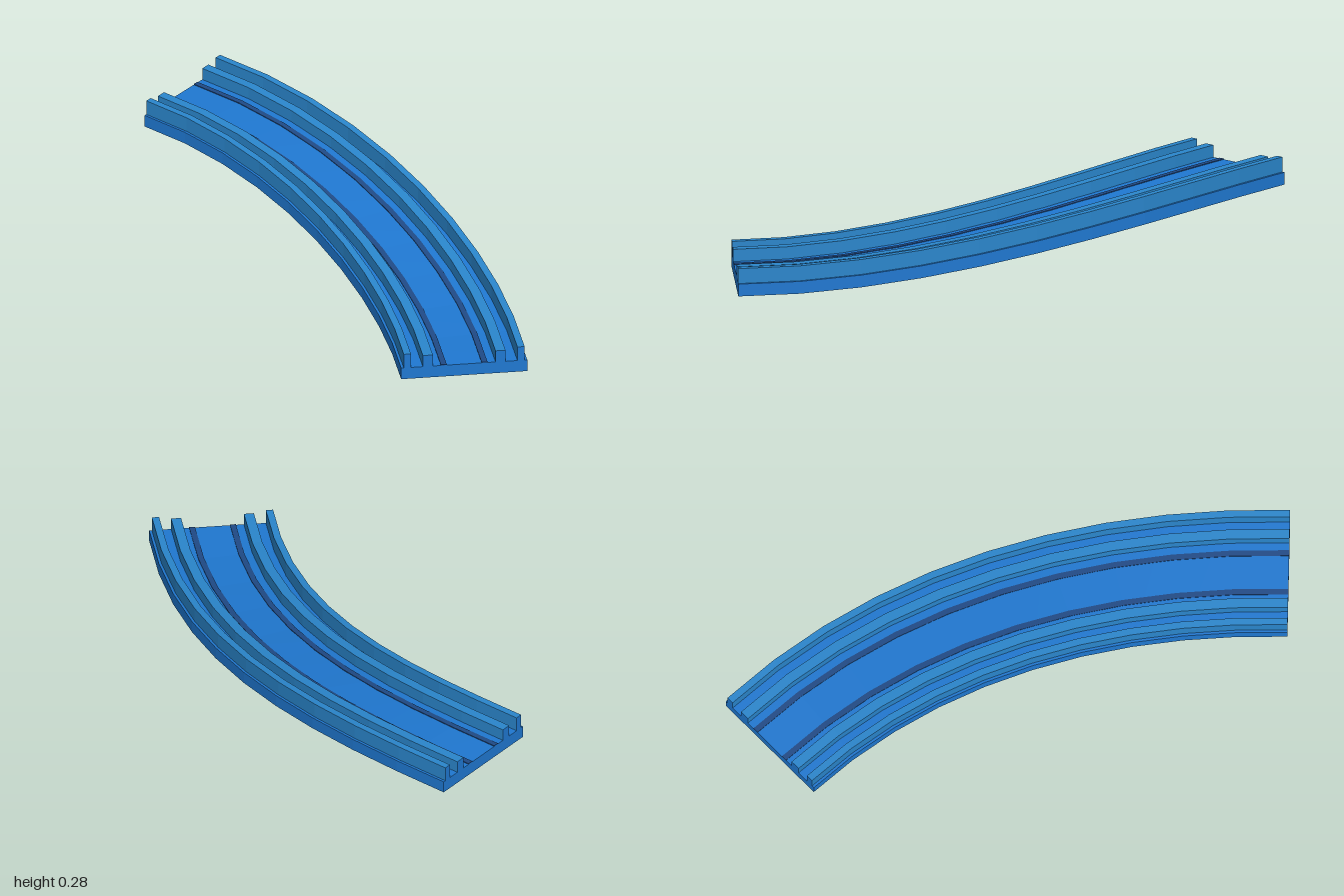
import * as THREE from 'three';

const SEGMENTS = 10;
const SWEEP = Math.PI / 4;
const RADIUS = 2.6;          // centre line of the bend
const CENTRE_X = -2.255;     // pivot of the bend
const RISE = 0.183;

// Point on the track: offset across, height above the underside, t along
function trackPoint(offset, height, t) {
  const a = SWEEP * t, r = RADIUS + offset;
  const lift = RISE * t * t * (3 - 2 * t);
  return [CENTRE_X + r * Math.cos(a), height + lift, 1 - r * Math.sin(a)];
}

// Rectangular bar swept along the rising bend; group 0 = sides, group 1 = ends
function sweepBar(o0, o1, y0, y1) {
  const profile = [[o0, y0], [o1, y0], [o1, y1], [o0, y1]];
  const positions = [], index = [];
  for (let i = 0; i <= SEGMENTS; i++) {
    for (const [o, y] of profile) positions.push(...trackPoint(o, y, i / SEGMENTS));
  }
  for (let i = 0; i < SEGMENTS; i++) {
    for (let k = 0; k < 4; k++) {
      const a = i * 4 + k, b = i * 4 + (k + 1) % 4;
      index.push(a, a + 4, b + 4, a, b + 4, b);
    }
  }
  const sideCount = index.length, e = SEGMENTS * 4;
  index.push(0, 1, 2, 0, 2, 3, e, e + 2, e + 1, e, e + 3, e + 2);
  const indexed = new THREE.BufferGeometry();
  indexed.setAttribute('position', new THREE.Float32BufferAttribute(positions, 3));
  indexed.setIndex(index);
  const geometry = indexed.toNonIndexed();
  geometry.computeVertexNormals();
  geometry.addGroup(0, sideCount, 0);
  geometry.addGroup(sideCount, 12, 1);
  return geometry;
}

export function createModel() {
  const group = new THREE.Group();
  group.name = 'curvedRampTrack';
  const material = (name, color) => {
    const m = new THREE.MeshStandardMaterial({ color });
    m.name = name;
    return m;
  };
  const blue = material('track blue', 0x1f78d1);
  const lightBlue = material('rail blue', 0x2a86cc);
  const navy = material('stripe navy', 0x1f4a86);

  const add = (name, bar, sides, ends) => {
    const mesh = new THREE.Mesh(sweepBar(...bar), [sides, ends]);
    mesh.name = name;
    group.add(mesh);
  };

  // Road bed
  add('roadBed', [-0.2275, 0.2275, 0, 0.045], blue, blue);

  // Rails and painted stripes, mirrored about the centre line
  const strips = [
    ['OuterRail', 0.192, 0.218, 0.045, 0.1, lightBlue, blue],
    ['InnerRail', 0.113, 0.149, 0.045, 0.09, lightBlue, blue],
    ['Stripe', 0.063, 0.084, 0.045, 0.048, navy, navy],
  ];
  for (const [name, near, far, y0, y1, sides, ends] of strips) {
    add('left' + name, [near, far, y0, y1], sides, ends);
    add('right' + name, [-far, -near, y0, y1], sides, ends);
  }
  return group;
}
